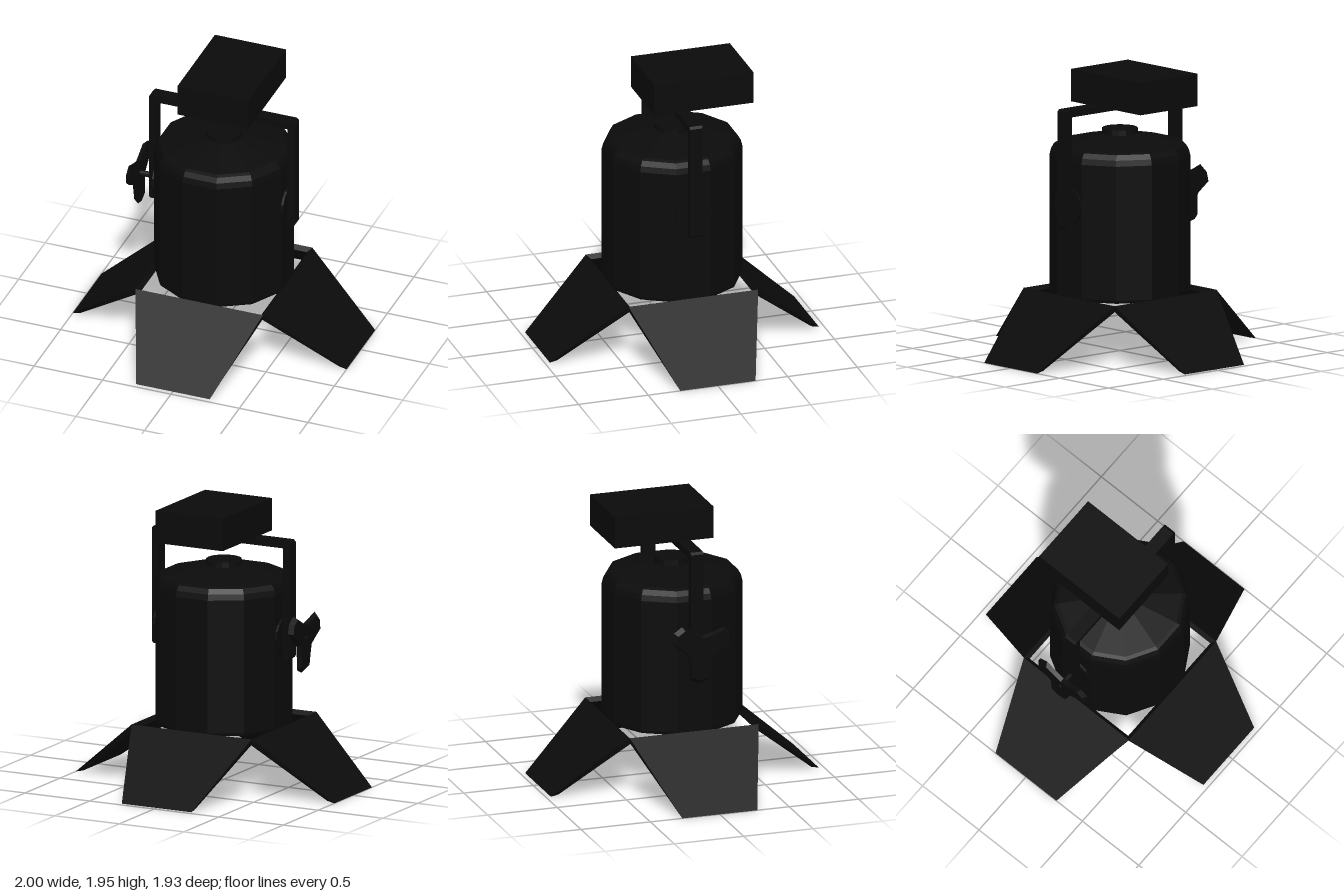
import * as THREE from 'three';

const black = new THREE.MeshStandardMaterial({ color: 0x0b0b0b, flatShading: true });

function add(parent, name, geometry, x = 0, y = 0, z = 0) {
  const mesh = new THREE.Mesh(geometry, black);
  mesh.name = name;
  mesh.position.set(x, y, z);
  parent.add(mesh);
  return mesh;
}

const shapeFrom = (points) => new THREE.Shape(points.map(([x, y]) => new THREE.Vector2(x, y)));

// Trapezoid flap sloping outwards and down from its hinge, reaching +x
function flapGeometry(reach) {
  const geometry = new THREE.BoxGeometry(1, 1, 1);
  const p = geometry.attributes.position;
  for (let i = 0; i < p.count; i++) {
    const tip = p.getX(i) > 0;
    const upper = p.getY(i) > 0;
    const side = Math.sign(p.getZ(i));
    const x = tip ? (upper ? reach : reach - 0.055) : (upper ? 0.465 : 0.437);
    const y = tip ? (upper ? 0 : 0.012) : (upper ? 0.428 : 0.4);
    p.setXYZ(i, x, y, side * (tip ? 0.27 : 0.465));
  }
  geometry.computeVertexNormals();
  return geometry;
}

// Three-lobed clamp knob, thin and slightly smaller on its outer face
function knobGeometry() {
  const points = [];
  for (let lobe = 0; lobe < 3; lobe++) {
    const middle = 35 + lobe * 120;
    for (const [offset, r] of [[-60, 0.1], [-30, 0.15], [-17, 0.225], [0, 0.24], [17, 0.225], [30, 0.15]]) {
      const a = THREE.MathUtils.degToRad(middle + offset);
      points.push([r * Math.cos(a), r * Math.sin(a)]);
    }
  }
  const geometry = new THREE.ExtrudeGeometry(shapeFrom(points), { depth: 0.03, bevelEnabled: false });
  const p = geometry.attributes.position;
  for (let i = 0; i < p.count; i++) {
    if (p.getZ(i) < 0.01) p.setXY(i, p.getX(i) * 0.88, p.getY(i) * 0.88);
  }
  geometry.computeVertexNormals();
  return geometry.rotateY(-Math.PI / 2).scale(1, 1, 1);
}

export function createModel() {
  const model = new THREE.Group();
  model.name = 'stageLight';

  // Twelve-sided housing with a conical recess below and a shallow roof
  const profile = [
    [0, 0.59], [0.37, 0.59], [0.45, 0.41], [0.472, 0.41], [0.48, 0.43], [0.48, 1.36],
    [0.47, 1.4], [0.45, 1.435], [0.425, 1.445], [0.125, 1.508], [0, 1.508],
  ].map(([r, y]) => new THREE.Vector2(r, y));
  add(model, 'housing', new THREE.LatheGeometry(profile, 12, Math.PI / 12));
  add(model, 'roofCap', new THREE.CylinderGeometry(0.122, 0.125, 0.045, 16), 0, 1.523);

  // Four flaps around the mouth
  for (let i = 0; i < 4; i++) {
    const flap = add(model, 'flap', flapGeometry(i % 2 ? 0.965 : 1));
    flap.rotation.y = i * Math.PI / 2;
  }

  // U-shaped yoke with clipped corners
  const half = [[0.48, 1.68], [0.48, 0.92], [0.49, 0.905], [0.522, 0.905], [0.532, 0.92], [0.532, 1.715], [0.515, 1.73]];
  const mirrored = half.map(([x, y]) => [-x, y]).reverse();
  const yoke = new THREE.ExtrudeGeometry(shapeFrom([...half, ...mirrored]), { depth: 0.09, bevelEnabled: false });
  add(model, 'yoke', yoke, 0, 0, -0.045);

  // Pivot discs between housing and yoke
  for (const side of [-1, 1]) {
    const disc = add(model, 'pivotDisc', new THREE.CylinderGeometry(0.13, 0.13, 0.05, 16), side * 0.455, 1.06);
    disc.rotation.z = Math.PI / 2;
  }

  // Clamp bolt and knob on one side
  const bolt = add(model, 'clampBolt', new THREE.CylinderGeometry(0.021, 0.021, 0.18, 10), -0.56, 1.058);
  bolt.rotation.z = Math.PI / 2;
  const knob = add(model, 'clampKnob', knobGeometry(), -0.64, 1.058);
  // Outer face of the knob points to -x
  knob.geometry.rotateY(Math.PI);

  // Control box over the yoke
  add(model, 'controlBox', new THREE.BoxGeometry(0.52, 0.225, 0.71), 0, 1.842, -0.145);

  return model;
}
